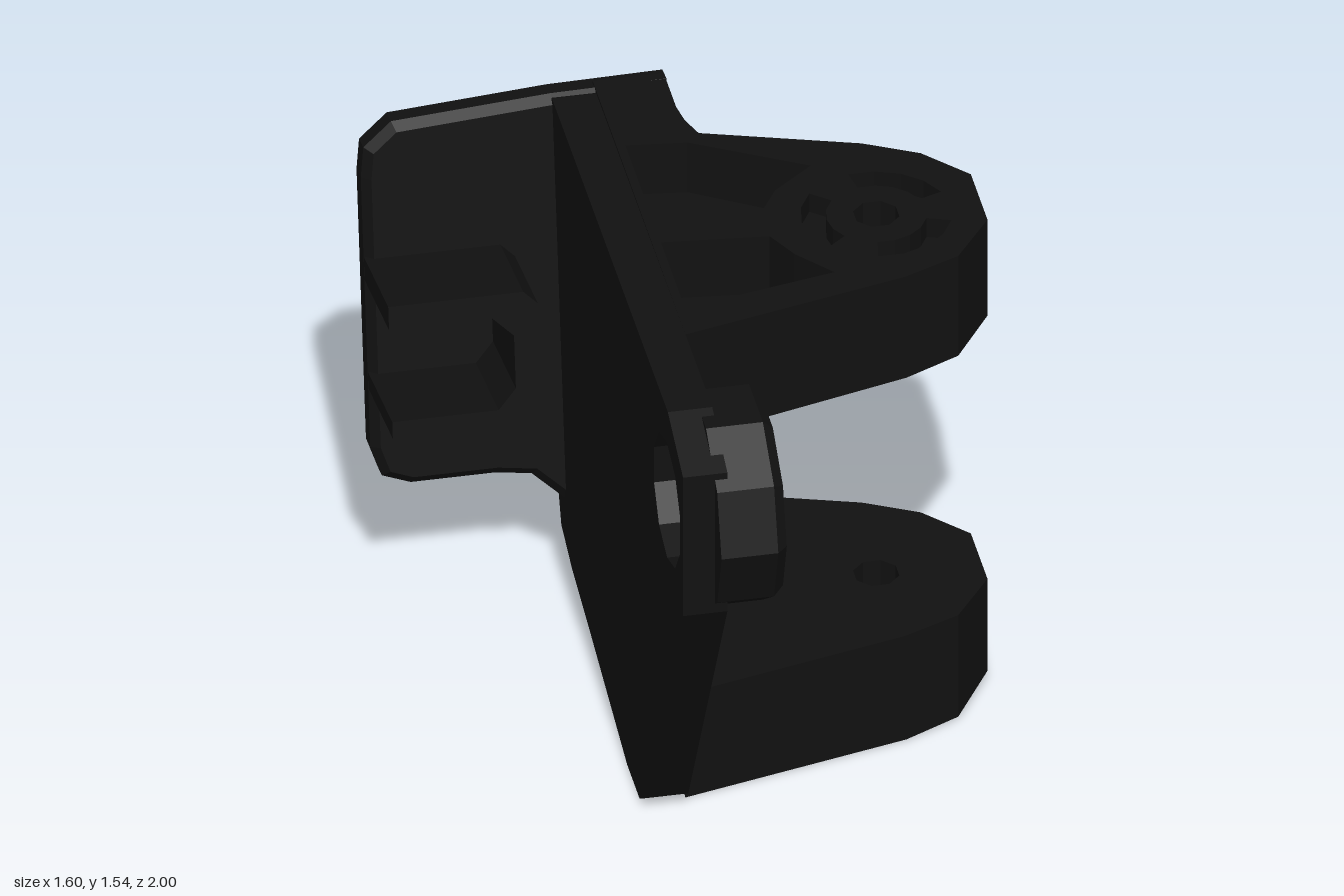
import * as THREE from 'three';

const material = new THREE.MeshStandardMaterial({ color: 0x111111, flatShading: true, side: THREE.DoubleSide });

const vecs = (pts) => pts.map(([a, b]) => new THREE.Vector2(a, b));

// Regular polygon as a list of points
const ngon = (cx, cy, r, n) => Array.from({ length: n }, (_, i) => {
  const a = ((i + 0.5) / n) * Math.PI * 2;
  return [cx + r * Math.cos(a), cy + r * Math.sin(a)];
});

// Curved slot between two radii, angles in degrees
const arcSlot = (cx, cy, r0, r1, from, to, n = 4) => {
  const pts = [];
  for (const [r, a, b] of [[r0, from, to], [r1, to, from]]) {
    for (let i = 0; i <= n; i++) {
      const t = THREE.MathUtils.degToRad(a + ((b - a) * i) / n);
      pts.push([cx + r * Math.cos(t), cy + r * Math.sin(t)]);
    }
  }
  return pts;
};

function extrude(outline, holes, depth, bevel = 0) {
  const shape = new THREE.Shape(vecs(outline));
  for (const h of holes) shape.holes.push(new THREE.Path(vecs(h)));
  const geo = new THREE.ExtrudeGeometry(shape, {
    depth: depth - 2 * bevel, bevelEnabled: bevel > 0, bevelSegments: 1,
    bevelSize: bevel, bevelThickness: bevel, bevelOffset: -bevel,
  });
  return geo.translate(0, 0, bevel);
}

function mesh(geo, name, parent) {
  const m = new THREE.Mesh(geo, material);
  m.name = name;
  parent.add(m);
  return m;
}

// Arm in plan (x, z): layers run from its top (t = 0) to its bottom (t = 1)
const PIN = [0.5, -0.15];
const pinHole = ngon(...PIN, 0.065, 8);
const pockets = [
  [[-0.11, -0.62], [0.06, -0.6], [0.37, -0.42], [0.25, -0.32], [0.19, -0.22], [-0.11, -0.23]],
  [[-0.11, -0.13], [0.19, -0.1], [0.24, 0], [0.33, 0.11], [-0.11, 0.2]],
];
const grooves = [[20, 100], [140, 220], [260, 340]].map(([a, b]) => arcSlot(...PIN, 0.14, 0.21, a, b));

function arm(name, zBack, top, bottom, layers) {
  const outline = [
    [-0.135, zBack], [0.065, zBack], [0.065, -0.78], [0.075, -0.71], [0.1, -0.64], [0.53, -0.5],
    [0.68, -0.42], [0.795, -0.29], [0.795, -0.06], [0.68, 0.1], [0.52, 0.17], [-0.135, 0.33],
  ];
  const group = new THREE.Group();
  group.name = name;
  for (const [t0, t1, holes, part] of layers) {
    const geo = extrude(outline, holes, t1 - t0);
    geo.rotateX(Math.PI / 2).translate(0, -t0, 0);
    const p = geo.attributes.position;
    for (let i = 0; i < p.count; i++) {
      const z = p.getZ(i);
      p.setY(i, THREE.MathUtils.lerp(top(z), bottom(z), -p.getY(i)));
    }
    geo.computeVertexNormals();
    mesh(geo, part, group);
  }
  return group;
}

export function createModel() {
  const model = new THREE.Group();
  model.name = 'bracket';

  // Upright side wall, profile in (z, y)
  const wall = extrude([
    [0.91, 1.46], [0.91, 1.0], [0.37, 0.04], [0.31, 0], [0.14, 0], [-0.4, 0.11], [-0.62, 0.15],
    [-0.77, 0.2], [-0.82, 0.31], [-0.995, 1.43], [-0.97, 1.5], [-0.9, 1.53], [0.7, 1.54],
  ], [ngon(0.69, 1.24, 0.19, 10)], 0.125);
  wall.rotateY(-Math.PI / 2).translate(-0.135, 0, 0);
  mesh(wall, 'sideWall', model);

  // Round boss with a stepped recess around its hole
  const ring = new THREE.LatheGeometry(vecs([
    [0.12, 0], [0.31, 0], [0.31, 0.16], [0.28, 0.19], [0.25, 0.19], [0.22, 0.11], [0.12, 0.11], [0.12, 0],
  ]), 10);
  ring.rotateZ(-Math.PI / 2);
  mesh(ring, 'ringBoss', model).position.set(-0.17, 1.235, 0.69);

  // Upper and lower arms, pocketed on their outer faces
  const deep = [pinHole, ...pockets];
  const shallow = [pinHole, ...pockets, ...grooves];
  model.add(arm('upperArm', -0.95, () => 1.538, (z) => 1.215 - 0.08 * z, [
    [0, 0.2, shallow, 'rim'], [0.2, 0.6, deep, 'ribs'], [0.6, 1, [pinHole], 'floor'],
  ]));
  model.add(arm('lowerArm', -0.79, () => 0.345, (z) => Math.max(0, (0.14 - z) * 0.2), [
    [0, 0.4, [pinHole], 'floor'], [0.4, 0.8, deep, 'ribs'], [0.8, 1, shallow, 'rim'],
  ]));

  // Leaning back plate
  const back = new THREE.Group();
  back.name = 'back';
  back.position.z = -0.76;
  back.rotation.x = -0.16;
  model.add(back);
  mesh(extrude([
    [-0.8, 0.53], [-0.77, 0.44], [-0.69, 0.41], [-0.45, 0.41], [-0.35, 0.395], [-0.26, 0.31],
    [-0.2, 0.19], [0.067, 0.19], [0.067, 1.545], [-0.26, 1.54], [-0.71, 1.51], [-0.79, 1.44],
    [-0.8, 1.35],
  ], [], 0.11, 0.025), 'backPlate', back);

  // Channel-shaped block, open towards the outer side
  const channel = extrude([
    [-0.8, 0.71], [-0.42, 0.71], [-0.38, 0.76], [-0.38, 1.07], [-0.42, 1.11], [-0.8, 1.11],
    [-0.8, 1.04], [-0.51, 1.04], [-0.45, 0.98], [-0.45, 0.82], [-0.5, 0.76], [-0.8, 0.76],
  ], [], 0.34);
  mesh(channel, 'channelBlock', back).position.z = 0.09;

  // Triangular gussets in the inner corner
  for (const y of [0.96, 0.76]) {
    const gusset = extrude([[-0.15, 0.09], [0.065, 0.09], [0.065, 0.16], [-0.15, 0.75]], [], 0.06);
    gusset.rotateX(Math.PI / 2);
    mesh(gusset, 'gusset', back).position.y = y + 0.06;
  }
  return model;
}
